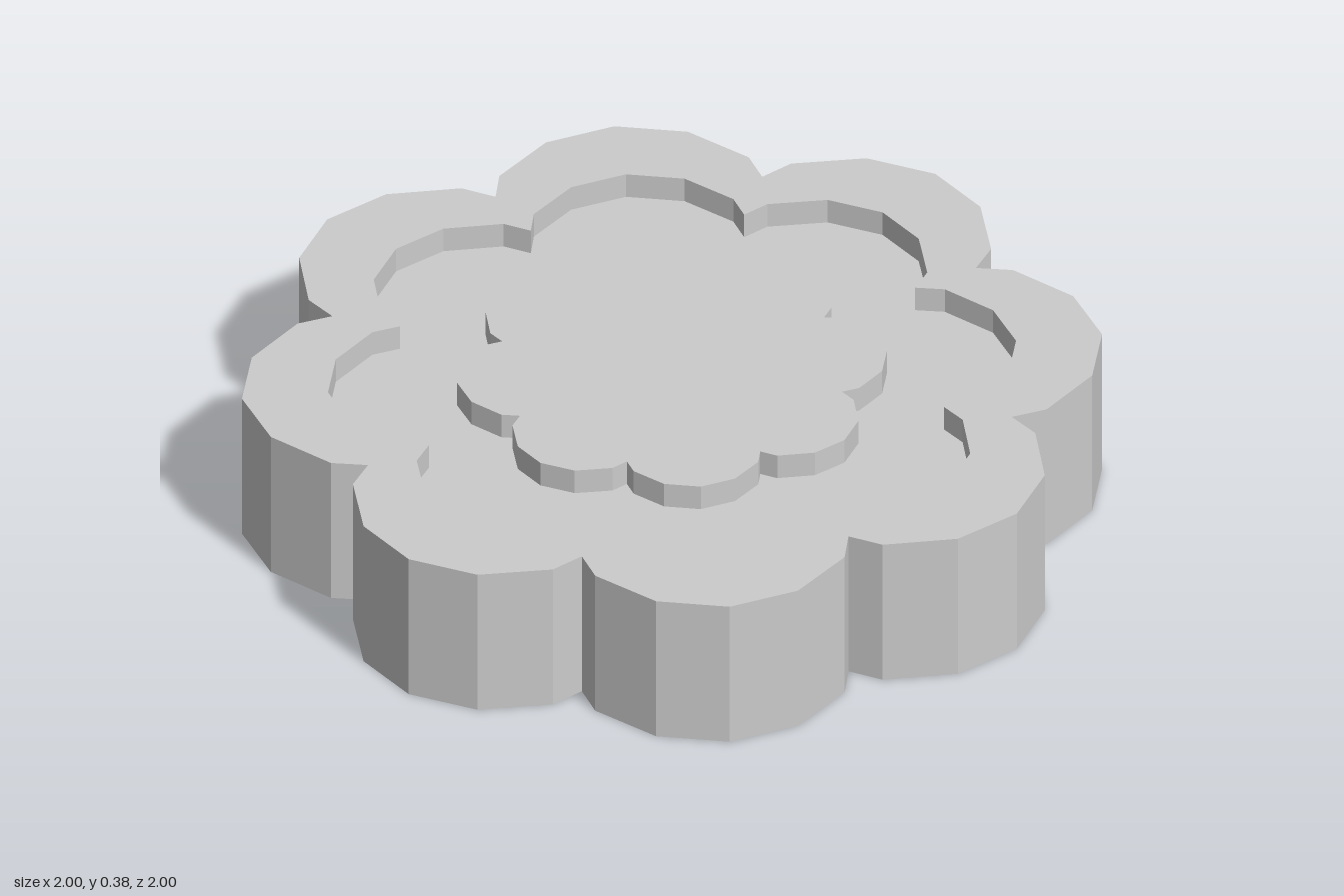
import * as THREE from 'three';

const PETALS = 8;
const TOP = 0.375, FLOOR = 0.3125;   // rim and centre height, recess floor height
const RECESS = 0.8, CENTRE = 0.5;    // outline scales of the inner flowers

// One petal as [angle, radius], from its left notch to just before its right notch
const HALF = Math.PI / PETALS;
const polar = (x, y) => [Math.atan2(x, y), Math.hypot(x, y)];
const [a1, r1] = polar(0.165, 0.955);
const [a2, r2] = polar(0.29, 0.832);
const PETAL = [[-HALF, 0.81], [-a2, r2], [-a1, r1], [0, 1], [a1, r1], [a2, r2]];

// Flower outline, counter-clockwise
function outline(scale) {
  const points = [];
  for (let i = 0; i < PETALS; i++) {
    for (const [a, r] of PETAL) {
      const t = a + i * 2 * HALF;
      points.push(new THREE.Vector2(Math.cos(t) * r * scale, Math.sin(t) * r * scale));
    }
  }
  return points;
}

// Flat horizontal face, optionally with a smaller flower cut out
function face(scale, y, holeScale) {
  const shape = new THREE.Shape(outline(scale));
  if (holeScale) shape.holes.push(new THREE.Path(outline(holeScale)));
  return new THREE.ShapeGeometry(shape).rotateX(-Math.PI / 2).translate(0, y, 0);
}

// Faceted wall; it faces outward when y0 < y1 and inward when y0 > y1
function wall(scale, y0, y1) {
  const points = outline(scale), positions = [];
  points.forEach((a, i) => {
    const b = points[(i + 1) % points.length];
    positions.push(
      a.x, y0, -a.y, b.x, y0, -b.y, b.x, y1, -b.y,
      a.x, y0, -a.y, b.x, y1, -b.y, a.x, y1, -a.y);
  });
  const geometry = new THREE.BufferGeometry();
  geometry.setAttribute('position', new THREE.Float32BufferAttribute(positions, 3));
  geometry.computeVertexNormals();
  return geometry;
}

export function createModel() {
  const group = new THREE.Group();
  group.name = 'flowerDish';
  const material = new THREE.MeshStandardMaterial({ color: 0xcccccc, flatShading: true });
  const add = (name, geometry) => {
    const mesh = new THREE.Mesh(geometry, material);
    mesh.name = name;
    group.add(mesh);
  };

  // Outer body
  add('outerWall', wall(1, 0, TOP));
  add('underside', face(1, 0).rotateX(Math.PI));
  add('rim', face(1, TOP, RECESS));

  // Recess inside the rim
  add('recessWall', wall(RECESS, TOP, FLOOR));
  add('recessFloor', face(RECESS, FLOOR, CENTRE));

  // Raised flower in the middle
  add('centreWall', wall(CENTRE, FLOOR, TOP));
  add('centreTop', face(CENTRE, TOP));

  return group;
}
